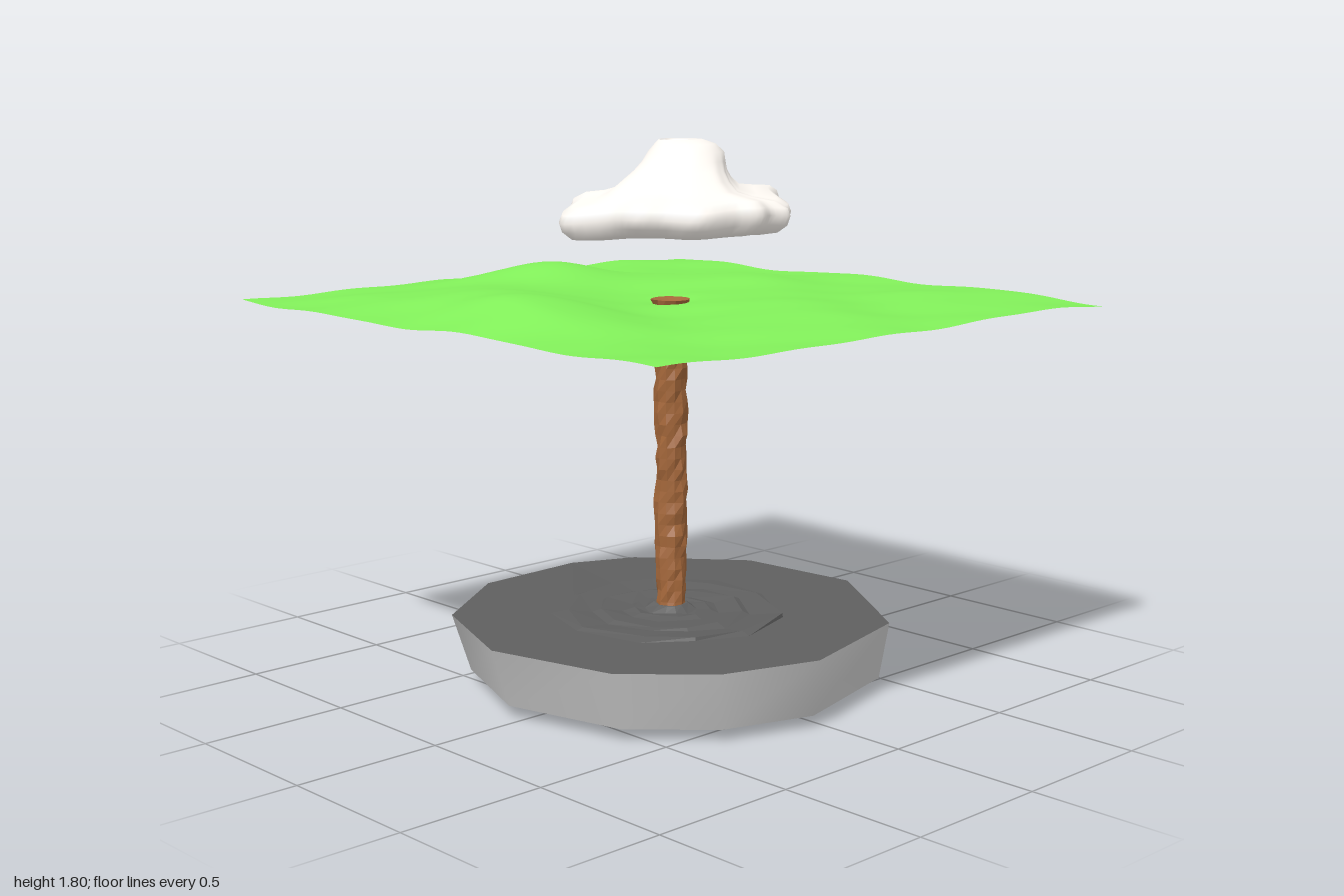
import * as THREE from 'three';

const rad = THREE.MathUtils.degToRad;

// Joins rows of points, listed bottom to top, into a tube facing outwards
function loft(rows) {
  const n = rows[0].length, pos = [], index = [];
  rows.forEach(row => row.forEach(p => pos.push(...p)));
  for (let j = 0; j < rows.length - 1; j++) {
    for (let i = 0; i < n; i++) {
      const a = j * n + i, b = j * n + (i + 1) % n;
      index.push(a, a + n, b, b, a + n, b + n);
    }
  }
  const geo = new THREE.BufferGeometry();
  geo.setAttribute('position', new THREE.Float32BufferAttribute(pos, 3));
  geo.setIndex(index);
  geo.computeVertexNormals();
  return geo;
}

function add(group, name, geo, color, flatShading = false) {
  const mat = new THREE.MeshStandardMaterial({ color, flatShading, side: THREE.DoubleSide });
  const mesh = new THREE.Mesh(geo, mat);
  mesh.name = name;
  group.add(mesh);
}

function seeded(seed) {
  return () => (seed = (seed * 16807) % 2147483647) / 2147483647;
}

const bump = (x, z, cx, cz, h, s) => h * Math.exp(-((x - cx) ** 2 + (z - cz) ** 2) / (s * s));

// Gentle hills, with a dimple where the trunk comes through
function lawnHeight(x, z) {
  const edge = Math.min(1, (1 - Math.max(Math.abs(x), Math.abs(z))) * 4);
  const hills = bump(x, z, -0.68, 0.08, 0.082, 0.3) + bump(x, z, 0, -0.6, 0.085, 0.27)
    + bump(x, z, -0.45, -0.35, 0.04, 0.3) + bump(x, z, 0.5, -0.1, 0.04, 0.28)
    + bump(x, z, 0.1, 0.45, 0.03, 0.25) + bump(x, z, -0.75, -0.65, 0.025, 0.25)
    + bump(x, z, 0.6, 0.6, 0.02, 0.25) - bump(x, z, 0, 0, 0.02, 0.07);
  const ripple = 0.005 * Math.sin(7 * x + 3 * z) + 0.005 * Math.sin(9 * z - 5 * x + 1)
    + 0.003 * Math.sin(15 * x - 4 * z) * Math.sin(13 * z + 2);
  return 1.278 + hills * (0.4 + 0.6 * edge) + ripple;
}

function lawn() {
  const geo = new THREE.PlaneGeometry(2, 1.99, 60, 60).rotateX(-Math.PI / 2).translate(0, 0, -0.005);
  const p = geo.attributes.position;
  for (let i = 0; i < p.count; i++) p.setY(i, lawnHeight(p.getX(i), p.getZ(i)));
  geo.computeVertexNormals();
  return geo;
}

// Knobbly bark: jittered rings, swelling to the back and left, flared at the top
function trunk() {
  const rand = seeded(41), rows = [], sides = 12, steps = 28;
  for (let j = 0; j <= steps; j++) {
    const y = 0.235 + 1.055 * j / steps;
    const swell = bump(y, 0, 0.95, 0, 0.016, 0.1) + bump(y, 0, 0.57, 0, 0.018, 0.12)
      + bump(y, 0, 1.14, 0, 0.007, 0.08);
    const cx = swell * 0.5, cz = -swell * 0.7, flare = bump(y, 0, 1.29, 0, 0.018, 0.03);
    const row = [];
    for (let i = 0; i < sides; i++) {
      const t = i / sides * Math.PI * 2;
      const r = 0.048 + swell * 0.5 + flare + (rand() - 0.5) * 0.012;
      row.push([cx + r * Math.cos(t), y, cz + r * Math.sin(t)]);
    }
    rows.push(row);
  }
  rows.push(rows[steps].map(() => [0, 1.275, 0]));
  return loft(rows);
}

// Rings [radius, y, centre x, centre z, outline weight], open at the crown
function cloud() {
  const rings = [
    [0.001, 1.525, 0.06, -0.03, 0], [0.18, 1.52, 0.06, -0.03, 0.2], [0.29, 1.508, 0.06, -0.03, 0.6],
    [0.35, 1.52, 0.06, -0.03, 0.9], [0.38, 1.545, 0.06, -0.03, 1], [0.39, 1.575, 0.06, -0.03, 1],
    [0.38, 1.6, 0.06, -0.03, 1], [0.345, 1.62, 0.06, -0.03, 0.9], [0.28, 1.63, 0.05, -0.02, 0.7],
    [0.225, 1.645, 0.035, -0.015, 0.4], [0.19, 1.675, 0.045, -0.02, 0.3], [0.16, 1.705, 0.07, -0.03, 0.2],
    [0.14, 1.735, 0.09, -0.035, 0.1], [0.125, 1.765, 0.105, -0.04, 0], [0.1, 1.79, 0.105, -0.045, 0],
    [0.072, 1.804, 0.1, -0.06, 0], [0.048, 1.802, 0.093, -0.08, 0], [0.04, 1.78, 0.093, -0.08, 0],
  ];
  // Lobed outline as angle and radius
  const outline = [[-3, 0.43], [12, 0.40], [27, 0.345], [48, 0.37], [58, 0.355], [70, 0.40], [80, 0.37],
    [91, 0.39], [104, 0.36], [125, 0.40], [140, 0.37], [153, 0.405], [172, 0.365], [190, 0.435], [207, 0.40],
    [224, 0.355], [240, 0.37], [258, 0.39], [277, 0.34], [300, 0.385], [315, 0.385], [330, 0.435], [343, 0.40]];
  const curve = new THREE.CatmullRomCurve3(
    outline.map(([a, r]) => new THREE.Vector3(r * Math.cos(rad(a)), 0, r * Math.sin(rad(a)))), true);
  const points = curve.getPoints(92).slice(0, -1);
  return loft(rings.map(([R, y, cx, cz, w]) => points.map(p => {
    const t = Math.atan2(p.z, p.x), len = p.length();
    const r = R * (1 + w * (len / 0.39 - 1) + w * (1 - w) * 0.25 * Math.sin(4 * t + 1));
    const lift = w * (0.012 * Math.cos(t) + 0.008 * Math.sin(5 * t) + 0.008 * Math.sin(3 * t + 1));
    return [cx + r * Math.cos(t), y + lift, cz + r * Math.sin(t)];
  })));
}

// Uneven corner angles shared by every part of the base
const corners = [12, 56, 95, 122, 148, 184, 219, 252, 284, 303, 337].map(rad);
const ring = (r, y, cx = 0, jr = () => 0, jy = () => 0) => corners.map(t => {
  const q = r * (1 + jr());
  return [cx + q * Math.cos(t), y + jy(), q * Math.sin(t)];
});

// Splits each straight edge of a ring in four
const refine = row => row.flatMap((p, i) => {
  const q = row[(i + 1) % row.length];
  return [0, 0.25, 0.5, 0.75].map(k => p.map((v, c) => v + (q[c] - v) * k));
});

// Cracked concentric ridges round the foot of the trunk
function baseTop() {
  const rand = seeded(7);
  const jr = () => (rand() - 0.5) * 0.12, jy = () => (rand() - 0.5) * 0.008;
  const profile = [[0.39, 0.236], [0.36, 0.246], [0.27, 0.238], [0.24, 0.246],
    [0.16, 0.238], [0.13, 0.246], [0.085, 0.243], [0.055, 0.264]];
  return loft([ring(0.735, 0.235), ...profile.map(([r, y]) => ring(r, y, 0, jr, jy)), ring(0, 0.26)]);
}

// Underside with a central hollow and one swelling beside it
function baseBottom() {
  const rows = [[0, 0.085], [0.1, 0.08], [0.17, 0.07], [0.19, 0.042], [0.23, 0.04], [0.27, 0.04],
    [0.31, 0.04], [0.36, 0.04], [0.43, 0.04], [0.55, 0.04]].map(([r, y]) => refine(ring(r, y)));
  rows.slice(3).forEach(row => row.forEach(p => { p[1] -= bump(p[0], p[2], -0.2, -0.2, 0.04, 0.16); }));
  return loft([...rows, refine(ring(0.69, 0.04, 0.02))]);
}

export function createModel() {
  const model = new THREE.Group();
  model.name = 'islandTree';
  add(model, 'baseRim', loft([ring(0.69, 0.04, 0.02), ring(0.735, 0.235)]), 0xcccccc);
  add(model, 'baseTop', baseTop(), 0x5f5f5f, true);
  add(model, 'baseUnderside', baseBottom(), 0x663a32);
  add(model, 'trunk', trunk(), 0xa4673a, true);
  add(model, 'lawn', lawn(), 0x82f05a);
  add(model, 'cloud', cloud(), 0xfffaf4);
  return model;
}
